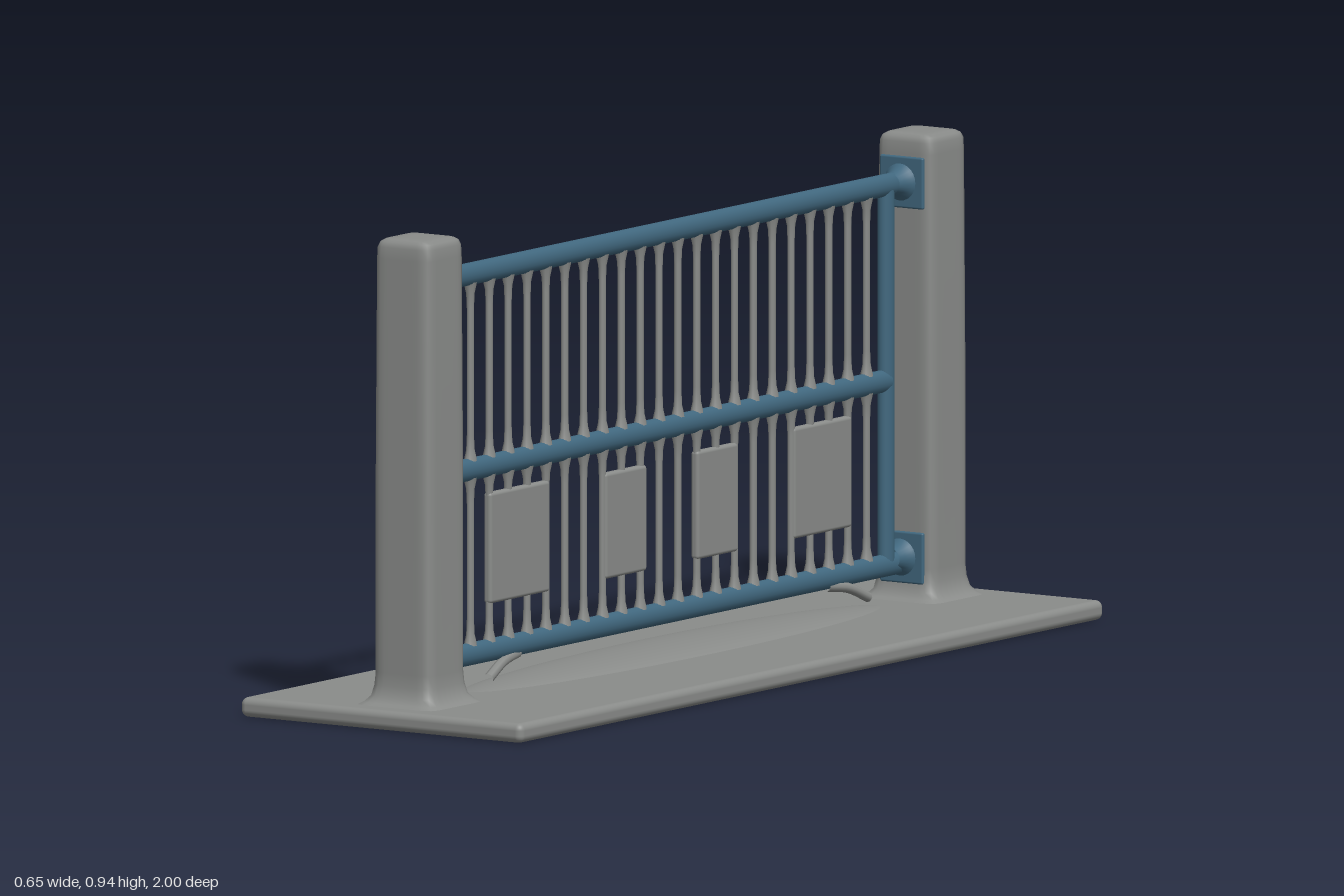
import * as THREE from 'three';
import { mergeVertices } from 'three/addons/utils/BufferGeometryUtils.js';
import { RoundedBoxGeometry } from 'three/addons/geometries/RoundedBoxGeometry.js';

const grey = new THREE.MeshStandardMaterial({ color: 0x8a8c8a });
grey.name = 'concreteGrey';
const blue = new THREE.MeshStandardMaterial({ color: 0x41687f });
blue.name = 'railBlue';

const Y_TOP = 0.845, Y_MID = 0.467, Y_LOW = 0.11;

// Lathe profile pushed out to a rounded square section
function squareLathe(profile) {
  const geo = new THREE.LatheGeometry(profile.map(([r, y]) => new THREE.Vector2(r, y)), 48);
  const p = geo.attributes.position;
  for (let i = 0; i < p.count; i++) {
    const x = p.getX(i), z = p.getZ(i), r = Math.hypot(x, z);
    if (r < 1e-6) continue;
    const k = Math.pow(Math.pow(Math.abs(x / r), 9) + Math.pow(Math.abs(z / r), 9), -1 / 9);
    p.setX(i, x * k);
    p.setZ(i, z * k);
  }
  geo.deleteAttribute('uv');
  geo.deleteAttribute('normal');
  const merged = mergeVertices(geo, 1e-5);
  merged.computeVertexNormals();
  return merged;
}

export function createModel() {
  const model = new THREE.Group();
  model.name = 'fenceSection';
  const add = (name, geo, mat, x = 0, y = 0, z = 0) => {
    const m = new THREE.Mesh(geo, mat);
    m.name = name;
    m.position.set(x, y, z);
    model.add(m);
    return m;
  };

  // Ground slab with a faint ridge under the fence
  add('baseSlab', new RoundedBoxGeometry(0.65, 0.038, 2, 4, 0.014), grey, 0, 0.019, 0);
  const ridge = add('baseRidge', new THREE.SphereGeometry(1, 40, 16), grey, 0, 0.028, 0);
  ridge.scale.set(0.11, 0.028, 0.75);

  // Posts with soft caps and flared feet
  const postGeo = squareLathe([
    [0.1, 0.033], [0.083, 0.043], [0.072, 0.055], [0.067, 0.075], [0.065, 0.1], [0.065, 0.5],
    [0.063, 0.9], [0.062, 0.922], [0.058, 0.932], [0.05, 0.937], [0.03, 0.938], [0, 0.938],
  ]);
  for (const [side, z] of [['front', 0.865], ['back', -0.855]]) {
    add(side + 'Post', postGeo, grey, 0, 0, z);
  }

  // Horizontal rails, slimmer across than tall
  for (const [name, y, a, b] of [
    ['topRail', Y_TOP, 0.805, -0.795],
    ['middleRail', Y_MID, 0.757, -0.737],
    ['bottomRail', Y_LOW, 0.805, -0.795],
  ]) {
    const geo = new THREE.CylinderGeometry(0.022, 0.022, a - b, 20);
    geo.rotateX(Math.PI / 2);
    geo.scale(0.75, 1, 1);
    add(name, geo, blue, -0.003, y, (a + b) / 2);
  }

  // Frame uprights
  for (const z of [0.757, -0.737]) {
    const geo = new THREE.CylinderGeometry(0.019, 0.019, Y_TOP - Y_LOW, 20);
    geo.scale(0.8, 1, 1);
    add('frameUpright', geo, blue, -0.003, (Y_TOP + Y_LOW) / 2, z);
  }

  // Blue mounting pads and flared sockets where rails meet posts
  const flare = new THREE.LatheGeometry(
    [[0.042, 0], [0.032, 0.009], [0.024, 0.022], [0.02, 0.036]].map(([r, y]) => new THREE.Vector2(r, y)), 24);
  for (const [z, dir] of [[0.8, -1], [-0.79, 1]]) {
    for (const y of [Y_TOP, Y_LOW + 0.01]) {
      add('mountingPad', new RoundedBoxGeometry(0.1, 0.1, 0.009, 2, 0.004), blue, 0, y, z + dir * 0.001);
      const socket = add('railSocket', flare, blue, -0.003, y, z);
      socket.rotation.x = dir * Math.PI / 2;
    }
  }

  // Slim balusters, widening slightly where they join the rails
  const baluster = (y0, y1, z) => {
    const h = y1 - y0;
    const pts = [[0.016, 0], [0.01, 0.022], [0.0085, 0.05], [0.0085, h - 0.05], [0.01, h - 0.022], [0.016, h]];
    const geo = new THREE.LatheGeometry(pts.map(([r, y]) => new THREE.Vector2(r, y)), 10);
    geo.scale(0.75, 1, 1);
    add('baluster', geo, grey, -0.003, y0, z);
  };
  for (let i = 0; i < 22; i++) {
    const z = 0.686 - i * 0.0646;
    baluster(Y_MID + 0.016, Y_TOP - 0.016, z);
    baluster(Y_LOW + 0.016, Y_MID - 0.016, z);
  }

  // Flat panels set among the lower balusters
  for (const [z0, z1, y0, y1] of [
    [0.63, 0.425, 0.2, 0.415], [0.235, 0.092, 0.2, 0.405],
    [-0.08, -0.22, 0.2, 0.41], [-0.41, -0.61, 0.2, 0.415],
  ]) {
    add('panel', new RoundedBoxGeometry(0.018, y1 - y0, z0 - z1, 3, 0.007), grey,
      -0.003, (y0 + y1) / 2, (z0 + z1) / 2);
  }

  // Small slanted stays under the bottom rail
  for (const s of [1, -1]) {
    const path = new THREE.CatmullRomCurve3([
      new THREE.Vector3(0, 0.094, s * 0.53),
      new THREE.Vector3(0.008, 0.085, s * 0.59),
      new THREE.Vector3(0.015, 0.06, s * 0.65),
    ]);
    add('railStay', new THREE.TubeGeometry(path, 8, 0.01, 8), grey);
  }

  return model;
}
